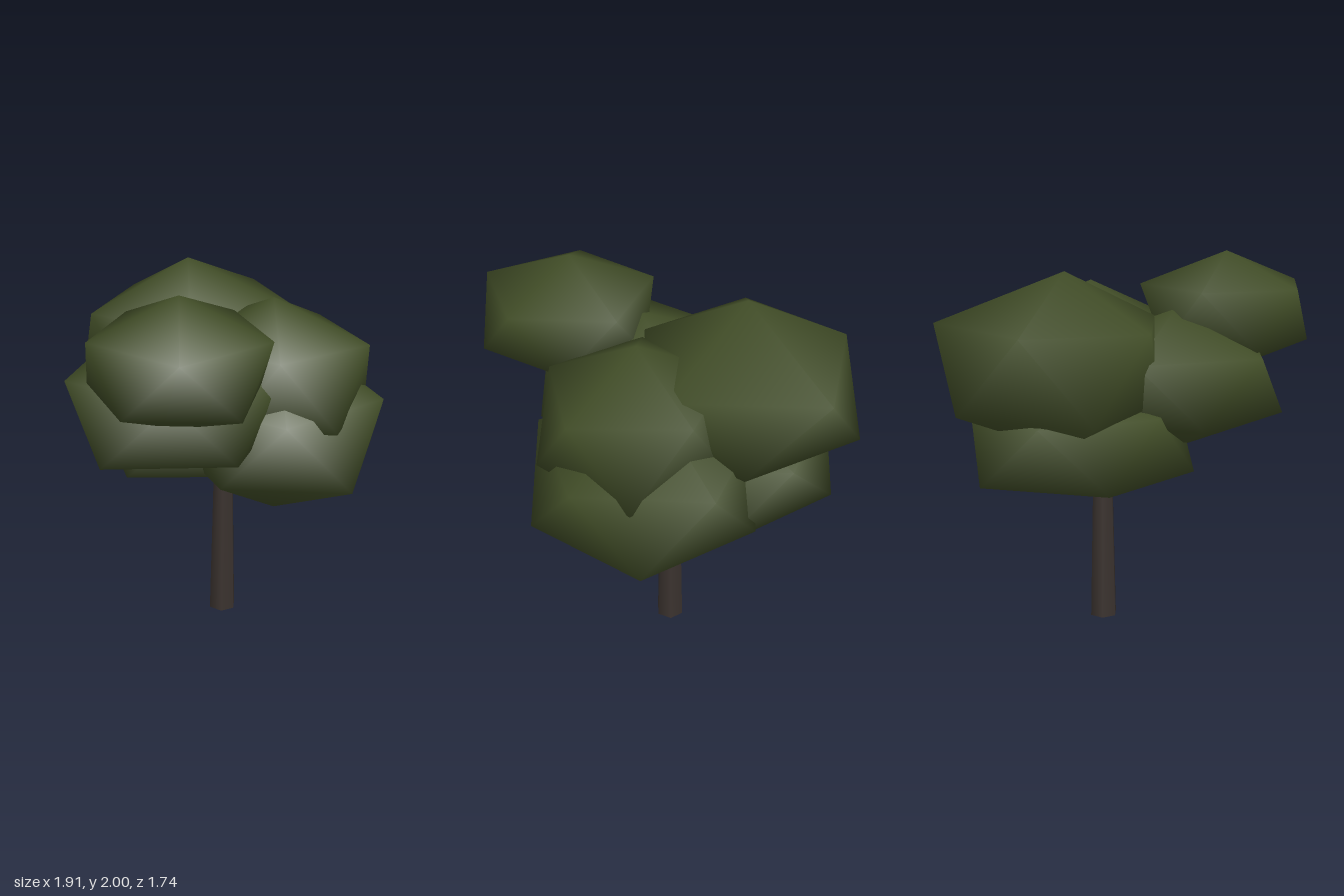
import * as THREE from 'three';

const leafMaterial = new THREE.MeshStandardMaterial({ color: 0x414d27 });
const barkMaterial = new THREE.MeshStandardMaterial({ color: 0x3b332f });

// Irregular twelve-point clump: two poles and a zigzag belt of ten points.
// height is the pole distance, belt the rise and fall of the zigzag;
// radii scales each belt point, going round from +x towards +z.
function makeClump({ name, centre, radius, height, belt, radii }) {
  const [cx, cy, cz] = centre;
  const positions = [cx, cy + height, cz];
  for (let k = 0; k < 10; k++) {
    const angle = (k * Math.PI) / 5;
    const r = radius * radii[k];
    const y = cy + (k % 2 === 0 ? belt : -belt);
    positions.push(cx + r * Math.cos(angle), y, cz + r * Math.sin(angle));
  }
  positions.push(cx, cy - height, cz);

  const point = (k) => 1 + (k % 10);
  const faces = [];
  for (let k = 0; k < 10; k += 2) {
    faces.push(0, point(k + 2), point(k));
    faces.push(point(k), point(k + 2), point(k + 1));
    faces.push(point(k + 1), point(k + 2), point(k + 3));
    faces.push(11, point(k + 1), point(k + 3));
  }
  const geometry = new THREE.BufferGeometry();
  geometry.setAttribute('position', new THREE.Float32BufferAttribute(positions, 3));
  geometry.setIndex(faces);
  geometry.computeVertexNormals();
  const mesh = new THREE.Mesh(geometry, leafMaterial);
  mesh.name = name;
  return mesh;
}

const clumps = [
  { name: 'topRightClump', centre: [-0.52, 1.675, 0.25], radius: 0.45, height: 0.325, belt: 0.147,
    radii: [1.02, 0.92, 1, 1.05, 1.07, 0.98, 0.98, 1.04, 0.98, 0.9] },
  { name: 'lowerFrontClump', centre: [0.28, 1.13, 0.3], radius: 0.57, height: 0.5, belt: 0.195,
    radii: [1.02, 1, 0.99, 1.05, 1.03, 0.92, 1, 1, 1, 1] },
  { name: 'upperFrontClump', centre: [0.21, 1.44, 0.31], radius: 0.47, height: 0.395, belt: 0.19,
    radii: [1.02, 1.16, 1.06, 1.08, 0.98, 0.94, 1, 1, 1, 1] },
  { name: 'middleRightClump', centre: [-0.25, 1.35, 0], radius: 0.57, height: 0.37, belt: 0.17,
    radii: [1, 1, 0.98, 0.96, 0.92, 1, 0.95, 0.87, 1.01, 1] },
  { name: 'upperBackClump', centre: [0.29, 1.48, -0.28], radius: 0.6, height: 0.46, belt: 0.2,
    radii: [1.1, 0.95, 1.1, 0.95, 0.9, 0.79, 0.9, 1.03, 0.88, 1.01] },
  { name: 'lowerBackClump', centre: [0.2, 1.08, -0.21], radius: 0.56, height: 0.28, belt: 0.17,
    radii: [1.06, 1.13, 1, 1, 1, 1, 0.86, 0.9, 1.02, 1.08] },
];

export function createModel() {
  const tree = new THREE.Group();
  tree.name = 'tree';

  // Six-sided tapered trunk running up into the leaves
  const trunk = new THREE.Mesh(new THREE.CylinderGeometry(0.05, 0.077, 1.15, 6), barkMaterial);
  trunk.name = 'trunk';
  trunk.position.set(0.132, 0.575, 0.065);
  tree.add(trunk);

  // Leaf clumps
  const foliage = new THREE.Group();
  foliage.name = 'foliage';
  clumps.forEach((clump) => foliage.add(makeClump(clump)));
  tree.add(foliage);
  return tree;
}
